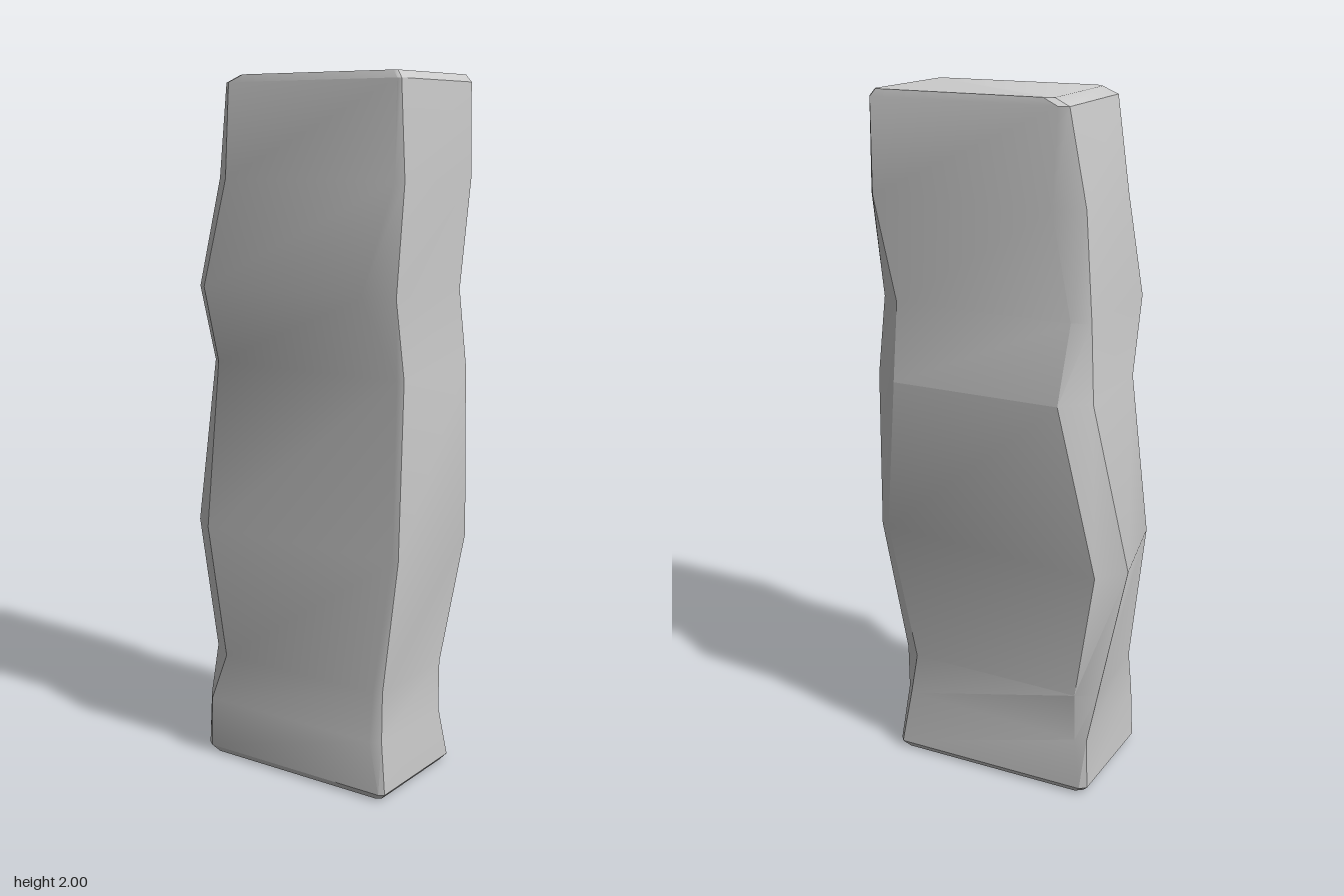
import * as THREE from 'three';
import { toCreasedNormals } from 'three/addons/utils/BufferGeometryUtils.js';

// Eight-cornered cross-sections of the warped beam, bottom to top.
// Height, then x,z pairs: front edge (left to right), +x edge (front to back),
// back edge (right to left), -x edge (back to front).
const sections = [
  [0.02, -0.18, 0.335, 0.165, 0.335, 0.185, 0.32, 0.185, -0.28, 0.17, -0.30, -0.175, -0.30, -0.19, -0.28, -0.19, 0.32],
  [0.18, -0.19, 0.33, 0.12, 0.33, 0.16, 0.30, 0.185, -0.265, 0.18, -0.30, -0.17, -0.295, -0.205, -0.265, -0.205, 0.30],
  [0.32, -0.18, 0.325, 0.13, 0.325, 0.17, 0.27, 0.18, -0.26, 0.15, -0.32, -0.13, -0.30, -0.19, -0.22, -0.19, 0.30],
  [0.72, -0.225, 0.40, 0.135, 0.40, 0.15, 0.37, 0.222, -0.335, 0.14, -0.40, -0.17, -0.33, -0.23, -0.25, -0.23, 0.385],
  [1.20, -0.165, 0.375, 0.165, 0.375, 0.225, 0.29, 0.228, -0.22, 0.17, -0.30, -0.14, -0.285, -0.17, -0.25, -0.17, 0.355],
  [1.42, -0.20, 0.37, 0.13, 0.37, 0.18, 0.30, 0.18, -0.235, 0.155, -0.285, -0.21, -0.28, -0.23, -0.25, -0.23, 0.28],
  [1.72, -0.18, 0.38, 0.165, 0.38, 0.20, 0.355, 0.205, -0.19, 0.165, -0.27, -0.14, -0.26, -0.19, -0.20, -0.19, 0.355],
  [1.98, -0.185, 0.37, 0.175, 0.37, 0.19, 0.36, 0.195, -0.20, 0.185, -0.228, -0.165, -0.212, -0.19, -0.185, -0.19, 0.36],
];

const toRing = ([y, ...p]) =>
  Array.from({ length: 8 }, (_, i) => [p[2 * i], y, p[2 * i + 1]]);

// Pulls a ring inwards to form the bevel around an end face
const bevel = (ring, y, side, front, back) =>
  ring.map(([x, , z]) => [x - Math.sign(x) * side, y, z > 0 ? z - front : z + back]);

function loft(rings) {
  const pos = [];
  const tri = (a, b, c) => pos.push(...a, ...b, ...c);
  for (let r = 0; r < rings.length - 1; r++) {
    const low = rings[r], high = rings[r + 1];
    for (let i = 0; i < 8; i++) {
      const j = (i + 1) % 8;
      tri(low[i], low[j], high[j]);
      tri(low[i], high[j], high[i]);
    }
  }
  // Flat end faces
  const bottom = rings[0], top = rings[rings.length - 1];
  for (let k = 1; k < 7; k++) {
    tri(top[0], top[k], top[k + 1]);
    tri(bottom[0], bottom[k + 1], bottom[k]);
  }
  const geometry = new THREE.BufferGeometry();
  geometry.setAttribute('position', new THREE.Float32BufferAttribute(pos, 3));
  return toCreasedNormals(geometry, 0.5);
}

export function createModel() {
  const group = new THREE.Group();
  group.name = 'warpedBeam';

  const rings = sections.map(toRing);
  rings.unshift(bevel(rings[0], 0, 0.014, 0.018, 0.018));
  rings.push(bevel(rings[rings.length - 1], 2, 0.006, 0.015, 0.045));

  const beam = new THREE.Mesh(
    loft(rings),
    new THREE.MeshStandardMaterial({ color: 0xcccccc })
  );
  beam.name = 'beam';
  group.add(beam);
  return group;
}
